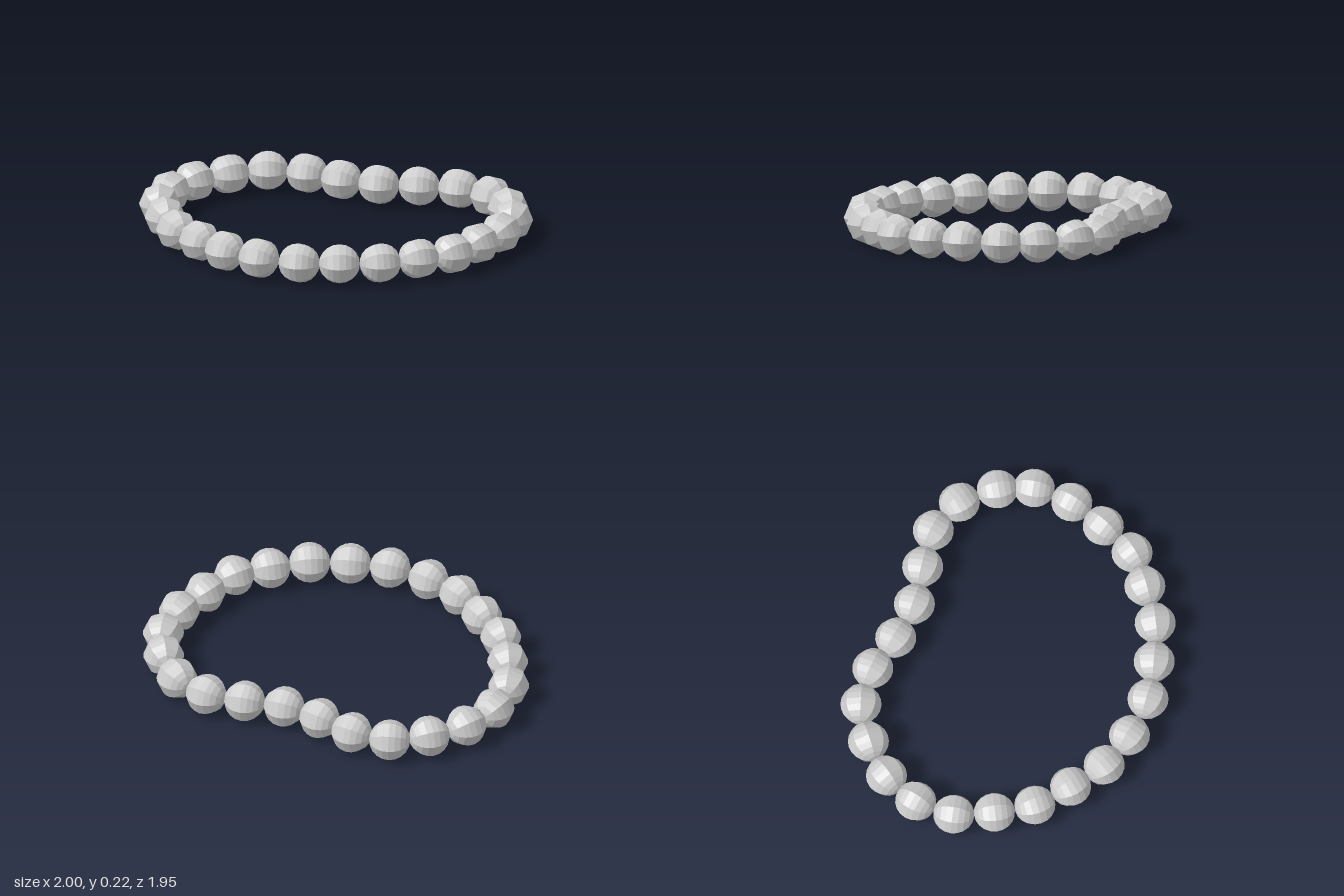
import * as THREE from 'three';

// Bead centres around the loop as [x, z]
const CENTRES = [
  [0.89, 0.09], [0.79, -0.10], [0.615, -0.23], [0.43, -0.35], [0.285, -0.515],
  [0.165, -0.695], [-0.005, -0.83], [-0.22, -0.87], [-0.44, -0.85], [-0.635, -0.755],
  [-0.78, -0.59], [-0.85, -0.38], [-0.89, -0.16], [-0.86, 0.06], [-0.81, 0.275],
  [-0.70, 0.465], [-0.54, 0.635], [-0.35, 0.745], [-0.145, 0.83], [0.075, 0.855],
  [0.28, 0.86], [0.48, 0.77], [0.67, 0.66], [0.82, 0.50], [0.887, 0.31],
];
const RADIUS = 0.112;

export function createModel() {
  const bracelet = new THREE.Group();
  bracelet.name = 'beadBracelet';
  const material = new THREE.MeshStandardMaterial({ color: 0xcccccc, flatShading: true });

  // Eight-sided bead whose poles lie along z, the stringing direction
  const beadShape = new THREE.SphereGeometry(RADIUS, 8, 10).rotateX(Math.PI / 2);

  // Each bead is turned to follow the line between its neighbours
  const n = CENTRES.length;
  CENTRES.forEach(([x, z], i) => {
    const [px, pz] = CENTRES[(i + n - 1) % n];
    const [nx, nz] = CENTRES[(i + 1) % n];
    const bead = new THREE.Mesh(beadShape, material);
    bead.name = `bead${i + 1}`;
    bead.position.set(x, RADIUS, z);
    bead.rotation.y = Math.atan2(nx - px, nz - pz);
    bracelet.add(bead);
  });
  return bracelet;
}
